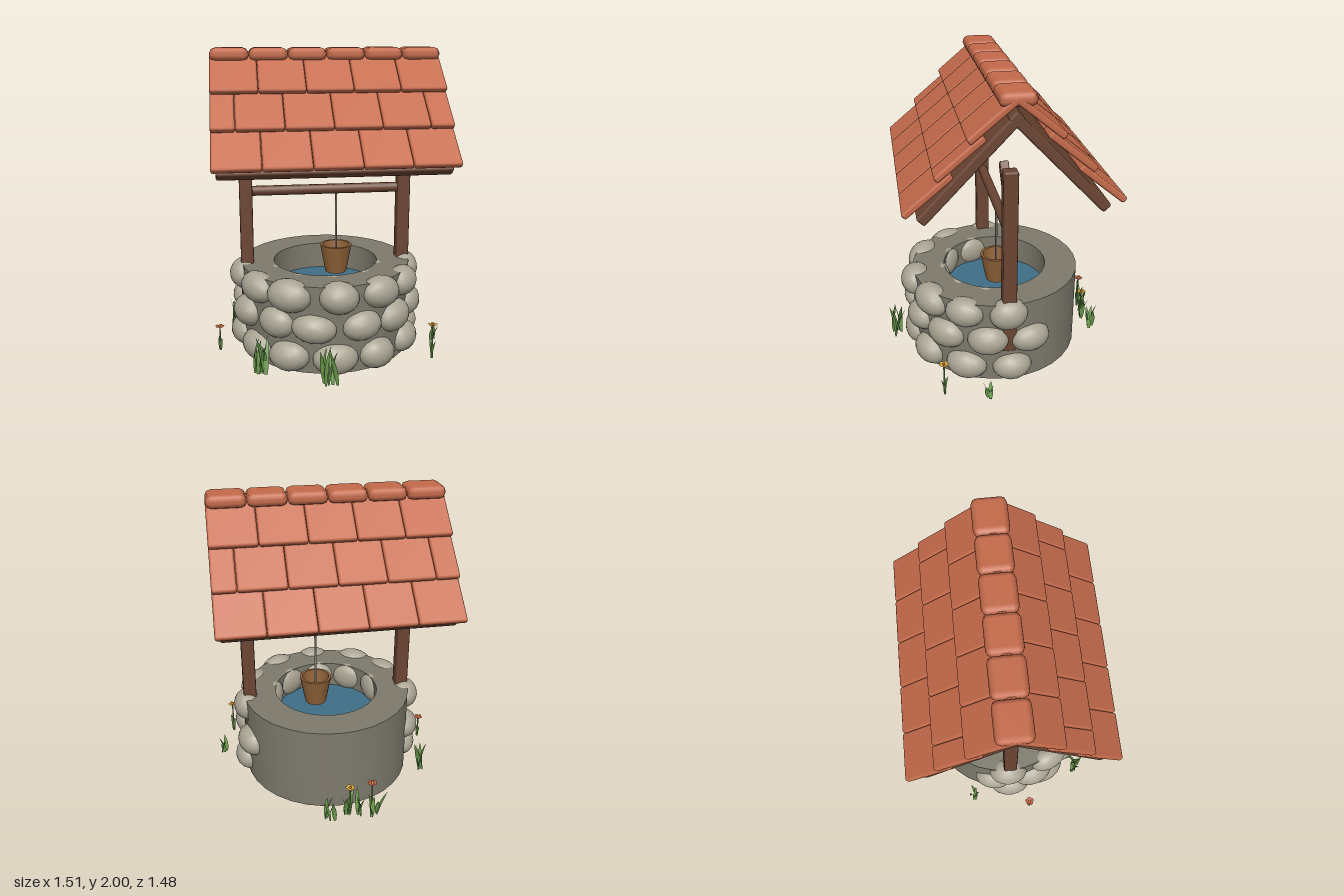
import * as THREE from 'three';
import { toCreasedNormals } from 'three/addons/utils/BufferGeometryUtils.js';
import { RoundedBoxGeometry } from 'three/addons/geometries/RoundedBoxGeometry.js';

const mat = (name, color, side = THREE.FrontSide) => {
  const m = new THREE.MeshStandardMaterial({ color, side });
  m.name = name;
  return m;
};

export function createModel() {
  const stone = mat('stone', 0xaaa594);
  const mortar = mat('mortar', 0x7e7a6d);
  const wood = mat('wood', 0x6b4533);
  const tileMat = mat('terracotta', 0xc46a4a);
  const bucketMat = mat('bucketWood', 0x8f6238);
  const waterMat = mat('water', 0x3f6f88, THREE.DoubleSide);
  const ropeMat = mat('rope', 0x85827c);
  const leafMat = mat('leaf', 0x6a9a4c, THREE.DoubleSide);
  const yellow = mat('yellowPetal', 0xdcae3c, THREE.DoubleSide);
  const red = mat('redPetal', 0xbf5a3c, THREE.DoubleSide);

  const model = new THREE.Group();
  model.name = 'wishingWell';
  model.position.z = 0.012;

  let seed = 7;
  const rand = () => (seed = (seed * 16807) % 2147483647) / 2147483647;
  const vary = (amount) => (rand() - 0.5) * 2 * amount;

  const add = (parent, name, geometry, material, x = 0, y = 0, z = 0) => {
    const m = new THREE.Mesh(geometry, material);
    m.name = name;
    m.position.set(x, y, z);
    parent.add(m);
    return m;
  };
  const group = (name) => {
    const g = new THREE.Group();
    g.name = name;
    model.add(g);
    return g;
  };
  const lathe = (pts, sides) => toCreasedNormals(
    new THREE.LatheGeometry(pts.map((p) => new THREE.Vector2(...p)), sides), 0.6);

  // Ring wall and water
  add(model, 'wellWall', lathe(
    [[0.35, 0.02], [0.565, 0.02], [0.565, 0.59], [0.35, 0.59], [0.35, 0.02]], 32), mortar);
  add(model, 'water', new THREE.CircleGeometry(0.355, 32), waterMat, 0, 0.41, 0).rotation.x = -Math.PI / 2;

  // Rounded stones on the front half, outside and inside the wall
  const stones = group('stones');
  const ball = new THREE.IcosahedronGeometry(1, 2);
  const placeStone = (name, deg, radius, y, w, h, d) => {
    const a = THREE.MathUtils.degToRad(deg);
    const s = add(stones, name, ball, stone, Math.cos(a) * radius, y, Math.sin(a) * radius);
    s.rotation.set(0, Math.PI / 2 - a, vary(0.12), 'YXZ');
    s.scale.set(w, h, d);
  };
  [0.115, 0.32, 0.51].forEach((y, row) => {
    const odd = row === 1;
    for (let i = 0; i < (odd ? 8 : 7); i++) {
      placeStone('outerStone', (odd ? -14 : 0) + i * (odd ? 29.3 : 30) + vary(2), 0.545,
        y + vary(0.006), 0.136 + vary(0.012), 0.102 + vary(0.006), 0.1 + vary(0.008));
    }
    for (let i = 0; i < 5; i++) {
      placeStone('innerStone', (odd ? 0 : 18) + i * 36 + vary(2), 0.365,
        y - 0.015, 0.115 + vary(0.01), 0.1, 0.055);
    }
  });

  // Posts, braces and axle
  const frame = group('frame');
  for (const s of [-1, 1]) {
    add(frame, 'post', new RoundedBoxGeometry(0.086, 1.25, 0.09, 1, 0.012), wood, s * 0.528, 0.865, 0);
    add(frame, 'brace', new RoundedBoxGeometry(0.055, 0.32, 0.055, 1, 0.008), wood, s * 0.42, 1.335, 0)
      .rotation.z = s * 0.72;
  }
  add(frame, 'axle', new THREE.CylinderGeometry(0.033, 0.033, 1.04, 10), wood, 0, 1.077, 0)
    .rotation.z = Math.PI / 2;

  // Bucket hanging on its rope
  add(model, 'rope', new THREE.CylinderGeometry(0.007, 0.007, 0.55, 8), ropeMat, 0.073, 0.795, 0);
  add(model, 'bucket', lathe(
    [[0, 0.5], [0.072, 0.5], [0.107, 0.69], [0.09, 0.69], [0.062, 0.53], [0, 0.53]], 20),
    bucketMat, 0.073, 0, 0);

  // Two roof slopes: wooden deck and three overlapping courses of tiles
  const tileW = 1.465 / 5;
  for (const turn of [0, Math.PI]) {
    const slope = group(turn ? 'backRoofSlope' : 'frontRoofSlope');
    slope.rotation.y = turn;
    add(slope, 'roofDeck', new RoundedBoxGeometry(1.41, 0.065, 0.82, 1, 0.014), wood, 0, 1.575, 0.258)
      .rotation.x = 0.811;
    for (let row = 0; row < 3; row++) {
      const widths = row === 1 ? [0.5, 1, 1, 1, 1, 0.5] : [1, 1, 1, 1, 1];
      let x = -1.465 / 2;
      for (const w of widths) {
        const t = add(slope, 'roofTile', new RoundedBoxGeometry(w * tileW - 0.002, 0.042, 0.355, 1, 0.014),
          tileMat, x + w * tileW / 2, 1.447 + row * 0.204, 0.497 - row * 0.183);
        t.rotation.x = 0.69;
        x += w * tileW;
      }
    }
  }

  // Ridge caps
  const ridge = group('ridge');
  const cap = new RoundedBoxGeometry(0.243, 0.082, 0.212, 1, 0.036);
  for (let i = 0; i < 6; i++) add(ridge, 'ridgeCap', cap, tileMat, (i - 2.5) * 0.2435, 1.959, -0.006);

  // Pointed, gently bent grass blade of unit height
  const blade = new THREE.PlaneGeometry(1, 1, 2, 6).translate(0, 0.5, 0);
  const p = blade.attributes.position;
  for (let i = 0; i < p.count; i++) {
    const y = p.getY(i);
    const side = p.getX(i);
    p.setX(i, side * (0.35 + 1.9 * y) * (1 - y) * 1.3);
    p.setZ(i, 0.22 * y * y - Math.abs(side) * 0.06 * (1 - y));
  }
  blade.computeVertexNormals();

  const plants = group('plants');
  const grass = (x, z, height, count, spread) => {
    for (let i = 0; i < count; i++) {
      const b = add(plants, 'grassBlade', blade, leafMat,
        x + vary(spread), 0.02, z + vary(spread * 0.7));
      const h = height * (0.7 + 0.3 * rand());
      b.scale.set(0.036, h, h);
      b.rotation.set(vary(0.12), (i / count) * Math.PI * 2 + vary(0.5), vary(0.12), 'YXZ');
    }
  };
  grass(-0.47, 0.5, 0.26, 7, 0.035);
  grass(-0.06, 0.7, 0.25, 7, 0.045);
  grass(-0.64, -0.28, 0.23, 5, 0.025);
  grass(0.73, 0.16, 0.13, 4, 0.02);
  grass(-0.2, -0.69, 0.2, 4, 0.025);
  grass(-0.11, -0.68, 0.21, 3, 0.02);
  grass(-0.03, -0.67, 0.21, 4, 0.02);
  grass(0.09, -0.69, 0.19, 5, 0.03);

  // Flowers with a stem, one leaf pair, five flat petals and a centre
  const petal = new THREE.CircleGeometry(0.014, 8).rotateX(-Math.PI / 2);
  const flower = (x, z, h, petalMat, heartMat) => {
    const f = new THREE.Group();
    f.name = 'flower';
    f.position.set(x, 0.02, z);
    plants.add(f);
    add(f, 'stem', new THREE.CylinderGeometry(0.005, 0.006, h, 6), leafMat, 0, h / 2, 0);
    for (let i = 0; i < 5; i++) {
      const a = (i / 5) * Math.PI * 2;
      const leafTip = add(f, 'petal', petal, petalMat, Math.cos(a) * 0.018, h, Math.sin(a) * 0.018);
      leafTip.rotation.set(0, -a, 0.2, 'YXZ');
    }
    add(f, 'flowerHeart', new THREE.SphereGeometry(0.009, 8, 6), heartMat, 0, h + 0.002, 0);
    for (const a of [0.6, 3.6]) {
      const b = add(f, 'flowerLeaf', blade, leafMat);
      b.scale.set(0.03, h * 0.55, h * 0.55);
      b.rotation.y = a;
    }
  };
  flower(-0.725, 0.13, 0.168, red, yellow);
  flower(0.645, 0.435, 0.235, yellow, red);
  flower(-0.185, -0.675, 0.245, red, yellow);
  flower(-0.045, -0.66, 0.215, yellow, red);

  return model;
}
